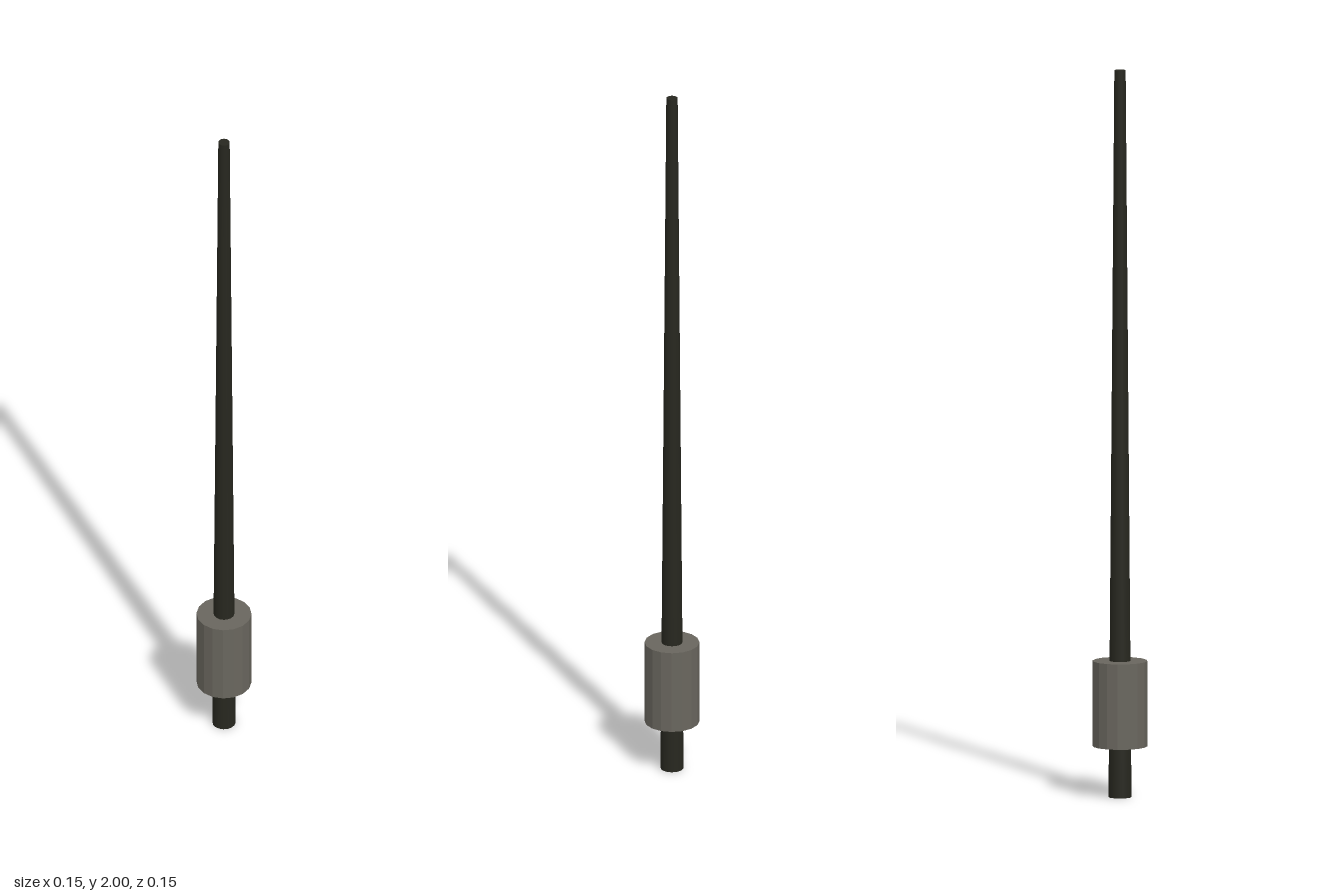
import * as THREE from 'three';

export function createModel() {
  const model = new THREE.Group();
  const darkPaint = new THREE.MeshStandardMaterial({ color: 0x27271f });
  darkPaint.name = 'dark shaft';
  const greyPaint = new THREE.MeshStandardMaterial({ color: 0x69665e });
  greyPaint.name = 'grey sleeve';

  // Adds an upright cylinder spanning two heights
  function addCylinder(name, topRadius, bottomRadius, y0, y1, material) {
    let geometry = new THREE.CylinderGeometry(topRadius, bottomRadius, y1 - y0, 16);
    if (material === greyPaint) {
      // Faceted sides
      geometry = geometry.toNonIndexed();
      geometry.computeVertexNormals();
    }
    const mesh = new THREE.Mesh(geometry, material);
    mesh.name = name;
    mesh.position.y = (y0 + y1) / 2;
    model.add(mesh);
  }

  // Long tapering rod running from the ground through the sleeve
  addCylinder('shaft', 0.0155, 0.0315, 0, 2, darkPaint);
  // Thick collar near the foot
  addCylinder('sleeve', 0.075, 0.075, 0.14, 0.375, greyPaint);

  return model;
}
